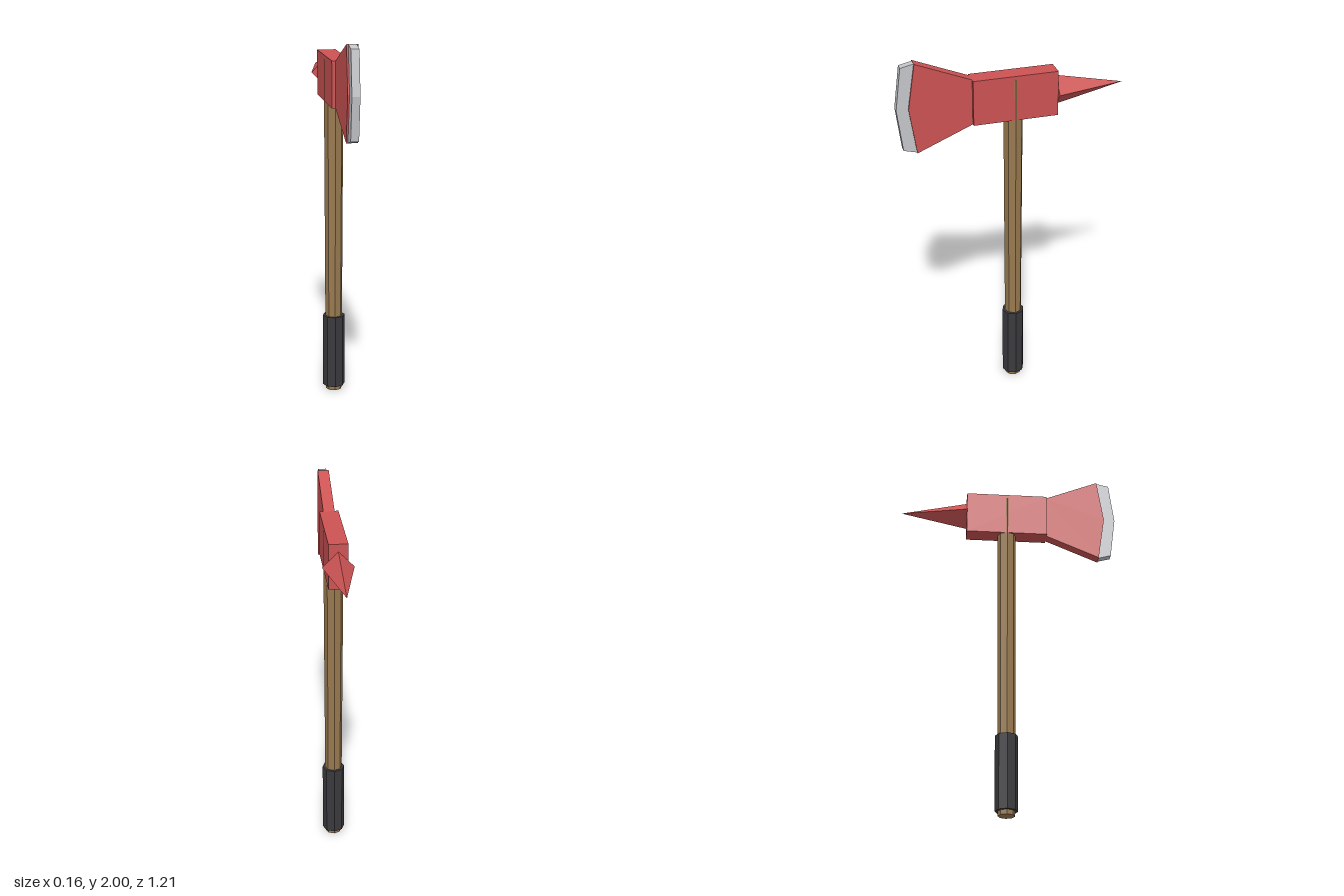
import * as THREE from 'three';

export function createModel() {
  const group = new THREE.Group();
  group.name = 'fireAxe';

  const mat = (name, color) => {
    const m = new THREE.MeshStandardMaterial({ color, flatShading: true });
    m.name = name;
    return m;
  };
  const red = mat('red paint', 0xcc5353);
  const steel = mat('steel', 0xc4c6ca);
  const wood = mat('wood', 0x98794f);
  const rubber = mat('black rubber', 0x3a3a3e);

  const add = (name, geometry, material, x = 0, y = 0, z = 0) => {
    const mesh = new THREE.Mesh(geometry, material);
    mesh.name = name;
    mesh.position.set(x, y, z);
    group.add(mesh);
    return mesh;
  };

  // Flat plate from a side outline of [z, y] points, centred on x = 0
  const plate = (points, width) => {
    const shape = new THREE.Shape(points.map(([z, y]) => new THREE.Vector2(-z, y)));
    const g = new THREE.ExtrudeGeometry(shape, { depth: width, bevelEnabled: false });
    g.translate(0, 0, -width / 2);
    g.rotateY(Math.PI / 2);
    return g;
  };

  const axisZ = -0.01; // handle axis
  const headY = 1.757; // height of the head's centre line

  // Octagonal handle, slightly wider at the top, and its grip
  add('handle', new THREE.CylinderGeometry(0.053, 0.045, 1.86, 8), wood, 0, 0.93, axisZ);
  add('grip', new THREE.CylinderGeometry(0.061, 0.061, 0.41, 8), rubber, 0, 0.23, axisZ);

  // Head block
  add('headBlock', new THREE.BoxGeometry(0.1, 0.245, 0.452), red, 0, headY, -0.012);

  // Flared blade
  add('blade', plate([
    [0.21, headY - 0.122], [0.508, 1.51], [0.545, headY], [0.508, 2.0], [0.21, headY + 0.122],
  ], 0.06), red);

  // Cutting edge in bare steel
  add('cuttingEdge', plate([
    [0.508, 1.511], [0.578, 1.53], [0.607, headY], [0.578, 1.984], [0.508, 1.999], [0.545, headY],
  ], 0.042), steel);

  // Four-sided pick at the back
  const spike = new THREE.ConeGeometry(0.082, 0.368, 4);
  spike.rotateX(-Math.PI / 2);
  add('spike', spike, red, 0, headY, -0.422);

  return group;
}
